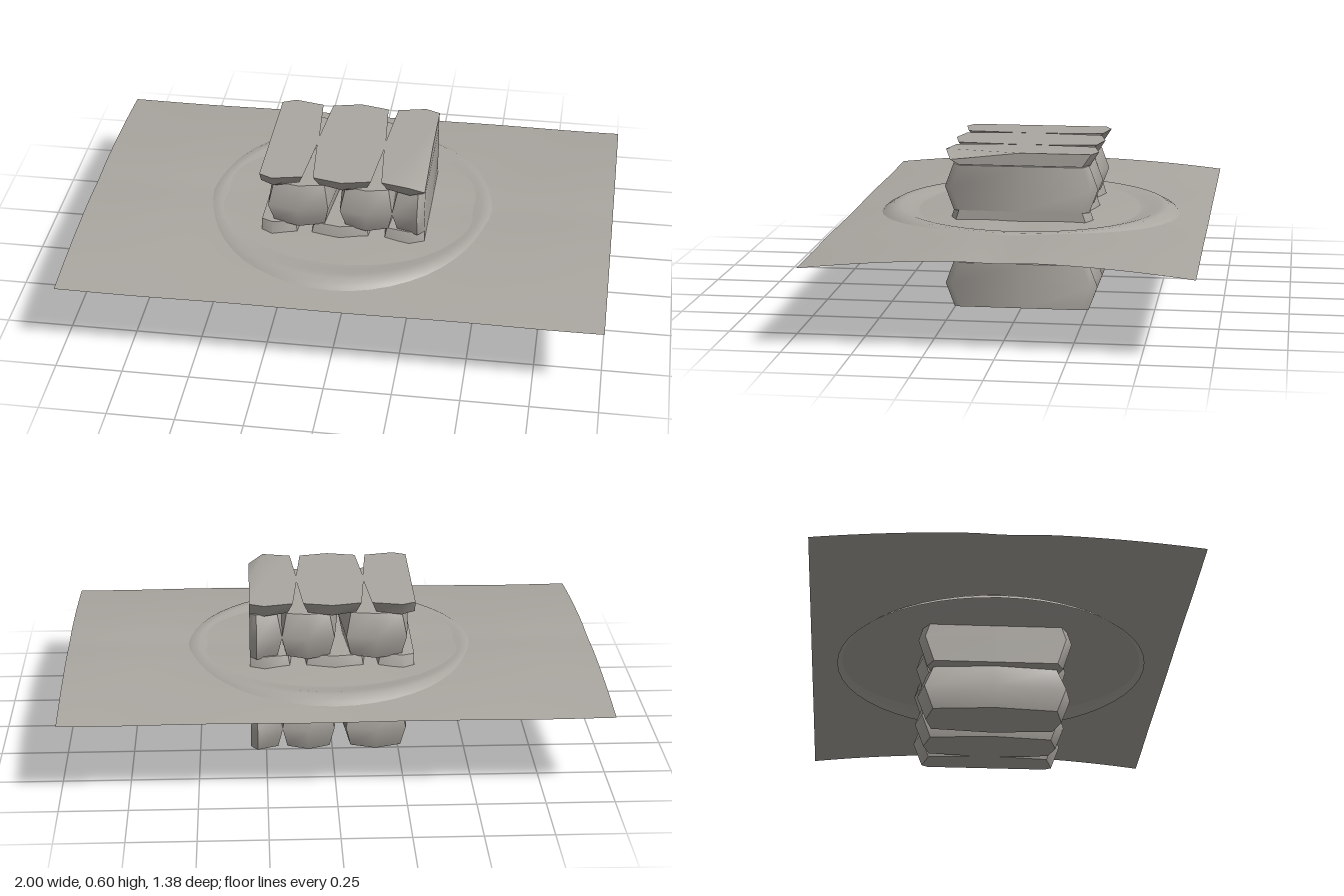
import * as THREE from 'three';
import { toCreasedNormals } from 'three/addons/utils/BufferGeometryUtils.js';

export function createModel() {
  const model = new THREE.Group();
  const stone = new THREE.MeshStandardMaterial({ color: 0xaaa6a0, side: THREE.DoubleSide });
  stone.name = 'warm grey stone';

  const add = (name, geometry, parent = model) => {
    const mesh = new THREE.Mesh(geometry, stone);
    mesh.name = name;
    parent.add(mesh);
    return mesh;
  };

  // Bulging block between x0..x1 and y0..y1, trimmed flat at the stack limits
  const blockGeometry = (x0, x1, y0, y1, chipped) => {
    const g = new THREE.BoxGeometry(2, 2, 2, 2, 2, 2);
    const p = g.attributes.position;
    const cx = (x0 + x1) / 2, cy = (y0 + y1) / 2;
    const hx = (x1 - x0) / 2, hy = (y1 - y0) / 2;
    for (let i = 0; i < p.count; i++) {
      const u = p.getX(i), v = p.getY(i), w = p.getZ(i);
      const x = cx + u * (hx - 0.018 * Math.abs(v) - 0.022 * Math.abs(w));
      let y = cy + v * (hy - 0.004 * Math.abs(u));
      const z = w * (0.287 - 0.033 * Math.abs(v) - 0.024 * Math.abs(u));
      y = THREE.MathUtils.clamp(y, 0, 0.6);
      if (chipped && u > 0 && w > 0 && v >= 0) y -= 0.03;
      p.setXYZ(i, THREE.MathUtils.clamp(x, -0.308, 0.308), y, z);
    }
    return toCreasedNormals(g, 0.95);
  };

  // Four courses with staggered joints
  const evenJoints = [[-0.3, -0.03], [-0.03, 0.21], [0.165, 0.4]];
  const oddJoints = [[-0.39, -0.14], [-0.15, 0.13], [0.125, 0.38]];
  const courses = [
    [0.005, 0.182, evenJoints],
    [0.178, 0.385, oddJoints],
    [0.375, 0.553, evenJoints],
    [0.548, 0.68, [[-0.39, -0.125], [-0.13, 0.13], [0.125, 0.38]]],
  ];
  const stack = new THREE.Group();
  stack.name = 'blockStack';
  model.add(stack);
  courses.forEach(([y0, y1, joints], row) => joints.forEach(([x0, x1], col) =>
    add(`block${row + 1}_${col + 1}`, blockGeometry(x0, x1, y0, y1, row === 3 && col === 2), stack)));

  // Thin arched ground sheet with gentle waves
  const sheet = new THREE.PlaneGeometry(2, 1.376, 40, 28).rotateX(-Math.PI / 2);
  const sp = sheet.attributes.position;
  for (let i = 0; i < sp.count; i++) {
    const x = sp.getX(i), z = sp.getZ(i);
    sp.setY(i, 0.349 - 0.041 * (z / 0.688) ** 2 - 0.006 * Math.exp(-((z / 0.1) ** 2))
      + 0.003 * Math.sin(8 * x + 1) * Math.cos(3 * z));
  }
  sheet.computeVertexNormals();
  add('groundSheet', sheet);

  // Shallow round dish whose rim just breaks through the sheet
  const profile = [[0, 0.33], [0.4, 0.331], [0.46, 0.338], [0.5, 0.347], [0.53, 0.347], [0.56, 0.331], [0.592, 0.305]];
  add('roundDish', new THREE.LatheGeometry(profile.map(([r, y]) => new THREE.Vector2(r, y)), 48));

  return model;
}
